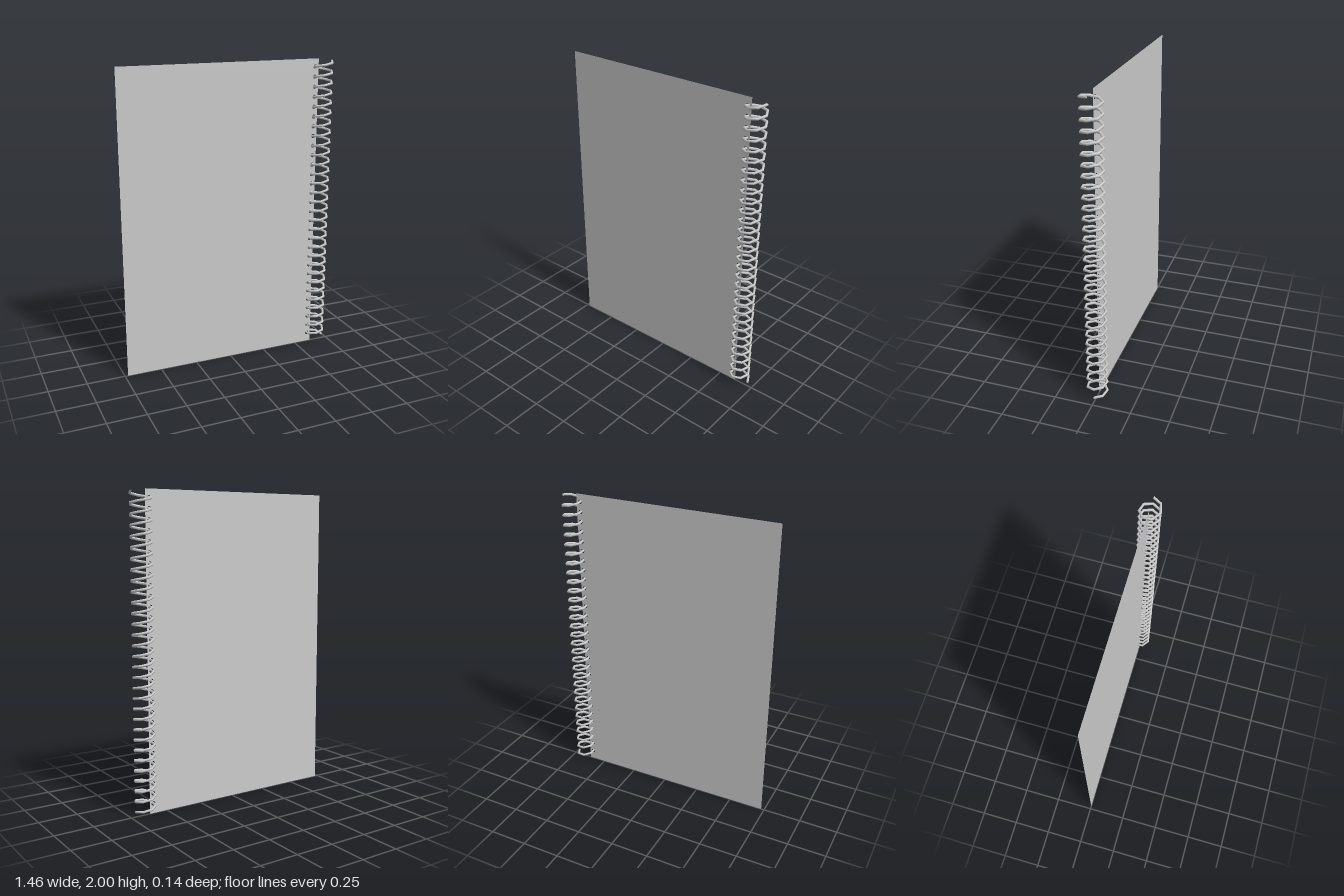
import * as THREE from 'three';

const TURNS = 30, SIDES = 7, PITCH = 0.065, START_Y = 0.031;
const COIL_X = 0.653, COIL_R = 0.064, WIRE_R = 0.0085;

// Rising helix, sampled evenly so each turn becomes a seven-sided loop
class Helix extends THREE.Curve {
  getPoint(t, target = new THREE.Vector3()) {
    const a = t * TURNS * Math.PI * 2;
    return target.set(
      COIL_X + COIL_R * Math.cos(a),
      START_Y + t * TURNS * PITCH,
      -COIL_R * Math.sin(a)
    );
  }
  getPointAt(t, target) { return this.getPoint(t, target); }
  getTangentAt(t, target) { return this.getTangent(t, target); }
}

export function createModel() {
  const group = new THREE.Group();
  group.name = 'spiralNotebook';
  const material = new THREE.MeshStandardMaterial({ color: 0xcccccc, side: THREE.DoubleSide });

  // Paper sheet with a row of punched holes where the wire passes through
  const sheet = new THREE.Shape([
    new THREE.Vector2(-0.73, 0), new THREE.Vector2(0.62, 0),
    new THREE.Vector2(0.62, 2), new THREE.Vector2(-0.73, 2),
  ]);
  const holeX = COIL_X - COIL_R * Math.cos(Math.PI / SIDES);
  for (let i = 0; i < TURNS; i++) {
    const hole = new THREE.Path();
    hole.absarc(holeX, START_Y + (i + 0.5) * PITCH, 0.014, 0, Math.PI * 2, true);
    sheet.holes.push(hole);
  }
  const page = new THREE.Mesh(new THREE.ShapeGeometry(sheet, 4), material);
  page.name = 'page';
  group.add(page);

  // Spiral binding wire
  const wire = new THREE.Mesh(
    new THREE.TubeGeometry(new Helix(), TURNS * SIDES, WIRE_R, 6, false), material);
  wire.name = 'spiralBinding';
  group.add(wire);

  return group;
}
